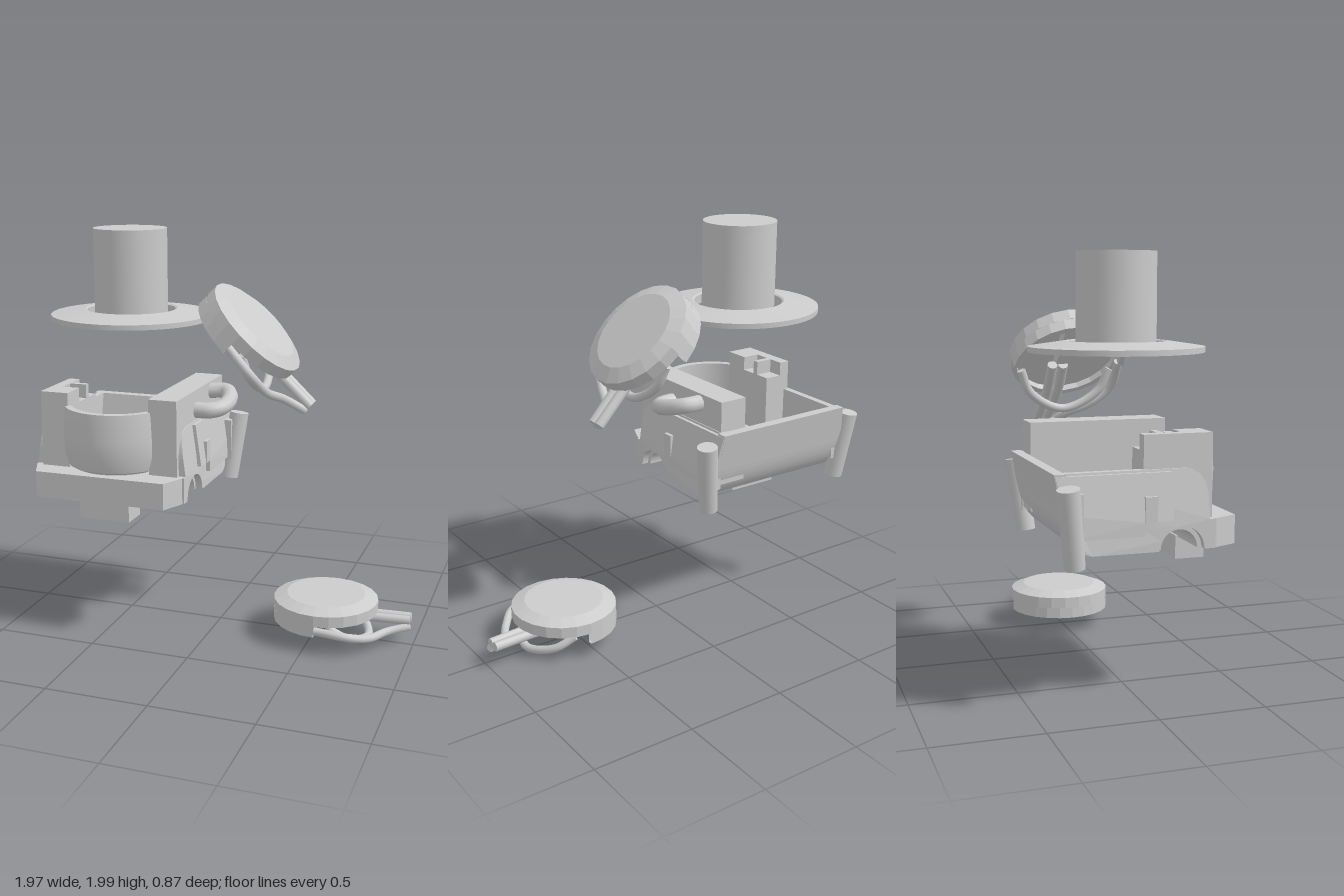
import * as THREE from 'three';
import { toCreasedNormals } from 'three/addons/utils/BufferGeometryUtils.js';

const CX = -0.48; // centre line of the tub
const V3 = (p) => new THREE.Vector3(...p);
const mat = new THREE.MeshStandardMaterial({ color: 0xcccccc, side: THREE.DoubleSide });
const flat = mat.clone();
flat.flatShading = true;

function mesh(name, geo, parent, material = mat) {
  const m = new THREE.Mesh(geo, material);
  m.name = name;
  parent.add(m);
  return m;
}
// Box given by its min and max corners
function box(name, a, b, parent) {
  const g = new THREE.BoxGeometry(b[0] - a[0], b[1] - a[1], b[2] - a[2]);
  g.translate((a[0] + b[0]) / 2, (a[1] + b[1]) / 2, (a[2] + b[2]) / 2);
  return mesh(name, g, parent);
}
// Side profile (z, y) extruded across x
function acrossX(shape, x0, x1) {
  const g = new THREE.ExtrudeGeometry(shape, { depth: x1 - x0, bevelEnabled: false, curveSegments: 14 });
  return g.rotateY(-Math.PI / 2).translate(x1, 0, 0);
}
const lathe = (pts, n, start = 0, len = Math.PI * 2) =>
  new THREE.LatheGeometry(pts.map((p) => new THREE.Vector2(...p)), n, start, len);
const tube = (name, pts, r, parent) => {
  const curve = new THREE.CatmullRomCurve3(pts.map(V3));
  mesh(name, new THREE.TubeGeometry(curve, 28, r, 10), parent);
  [pts[0], pts[pts.length - 1]].forEach((p, i) => {
    const cap = mesh(name + 'End', new THREE.CircleGeometry(r, 10), parent);
    cap.position.copy(V3(p));
    cap.lookAt(V3(p).addScaledVector(curve.getTangent(i), i ? 1 : -1));
  });
};

// Round pod, origin at its top centre, cables leaving toward +x
function pod(name) {
  const g = new THREE.Group();
  g.name = name;
  mesh('podCap', lathe([[0, -0.05], [0.235, -0.05], [0.235, -0.08], [0.26, -0.08], [0.26, -0.025],
    [0.195, 0], [0, 0]], 22), g, flat);
  mesh('podRim', lathe([[0.235, -0.08], [0.235, -0.135], [0.26, -0.135], [0.26, -0.08]], 12, Math.PI, Math.PI), g, flat);
  box('podBar', [-0.2, -0.1, -0.05], [0.06, -0.05, 0.05], g);
  tube('podStrap', [[0.06, -0.1, 0.21], [0.15, -0.16, 0.16], [0.22, -0.2, 0], [0.15, -0.16, -0.16], [0.06, -0.1, -0.21]], 0.02, g);
  tube('sideCable', [[0, -0.11, 0.24], [0.16, -0.12, 0.24], [0.25, -0.15, 0.15], [0.32, -0.15, 0.04], [0.42, -0.135, -0.02]], 0.02, g);
  tube('cable', [[0.02, -0.105, -0.07], [0.2, -0.105, -0.06], [0.42, -0.105, -0.07]], 0.023, g);
  tube('cable', [[0.02, -0.105, -0.02], [0.2, -0.105, -0.01], [0.42, -0.105, -0.025]], 0.023, g);
  return g;
}

export function createModel() {
  const root = new THREE.Group();
  root.name = 'model';

  // Hat-like lid: post above a wide ring
  const lid = new THREE.Group();
  lid.name = 'lid';
  lid.position.set(CX, 0, -0.025);
  root.add(lid);
  mesh('lidPost', new THREE.CylinderGeometry(0.182, 0.182, 0.42, 48), lid).position.y = 1.79;
  const ring = lathe([[0.22, 1.555], [0.4, 1.555], [0.4, 1.58], [0.23, 1.605], [0.22, 1.6], [0.22, 1.555]], 48);
  mesh('lidRing', toCreasedNormals(ring, 0.4), lid);

  // Tub body
  const body = new THREE.Group();
  body.name = 'body';
  root.add(body);

  // Floor slab with a round channel and curved back underside
  const under = new THREE.Shape();
  under.moveTo(0.3, 0.845);
  under.lineTo(0.3, 0.715);
  under.lineTo(0.25, 0.715);
  under.absarc(0.145, 0.715, 0.085, 0, Math.PI, false);
  under.lineTo(-0.26, 0.715);
  under.quadraticCurveTo(-0.34, 0.73, -0.365, 0.845);
  mesh('floor', acrossX(under, -0.84, -0.12), body);

  // Sloping back wall
  const back = new THREE.Shape();
  back.moveTo(-0.26, 0.715);
  back.quadraticCurveTo(-0.36, 0.73, -0.39, 0.9);
  back.lineTo(-0.425, 1.07);
  back.lineTo(-0.375, 1.07);
  back.lineTo(-0.33, 0.845);
  mesh('backWall', acrossX(back, -0.86, -0.1), body);

  // Side panels with wheel-arch cut, flaring toward the bottom
  const side = new THREE.Shape();
  side.moveTo(0.3, 0.845);
  side.lineTo(0.3, 0.715);
  side.lineTo(0.25, 0.715);
  side.absarc(0.145, 0.715, 0.105, 0, Math.PI, false);
  side.lineTo(-0.26, 0.715);
  side.quadraticCurveTo(-0.36, 0.73, -0.39, 0.9);
  side.lineTo(-0.425, 1.07);
  side.lineTo(0.17, 1.07);
  side.quadraticCurveTo(0.27, 1.06, 0.275, 0.93);
  side.lineTo(0.275, 0.845);
  const rear = new THREE.Shape([[-0.03, 0.79], [-0.36, 0.79], [-0.39, 0.9], [-0.42, 1.06], [0.1, 1.06],
    [0.1, 0.85], [-0.03, 0.85]].map((p) => new THREE.Vector2(...p)));
  const flare = (g) => {
    const p = g.attributes.position;
    for (let i = 0; i < p.count; i++) {
      const d = p.getX(i) - CX;
      if (Math.abs(d) > 0.36) p.setX(i, p.getX(i) - Math.sign(d) * 0.14 * Math.max(0, p.getY(i) - 0.85));
    }
    g.computeVertexNormals();
    return g;
  };
  for (const s of [-1, 1]) {
    const span = (a, b) => (s < 0 ? [CX - b, CX - a] : [CX + a, CX + b]);
    const addBox = (name, a, b, y0, y1, z0, z1) => {
      const [x0, x1] = span(a, b);
      box(name, [x0, y0, z0], [x1, y1, z1], body);
    };
    mesh('sidePanel', flare(acrossX(side, ...span(0.33, 0.395))), body);
    mesh('rearSidePanel', flare(acrossX(rear, ...span(0.385, 0.412))), body);
    addBox('sideLatch', 0.38, 0.415, 0.85, 0.96, -0.03, 0.025);

    // Slanted leg with its bracket at the back corner
    const top = V3([CX + s * 0.452, 1.02, -0.385]);
    const foot = V3([CX + s * 0.41, 0.675, -0.345]);
    const leg = mesh('backLeg', new THREE.CylinderGeometry(0.05, 0.046, top.distanceTo(foot), 20), body);
    leg.position.copy(top).add(foot).multiplyScalar(0.5);
    leg.quaternion.setFromUnitVectors(V3([0, 1, 0]), top.clone().sub(foot).normalize());
    addBox('legBracket', 0.36, 0.43, 0.78, 0.99, -0.375, -0.31);
  }

  // Front bumper with cut corners
  const bumper = new THREE.Shape([[-0.39, -0.27], [-0.385, -0.31], [-0.335, -0.42], [0.335, -0.42],
    [0.385, -0.31], [0.39, -0.27]].map(([x, y]) => new THREE.Vector2(x, y)));
  const bg = new THREE.ExtrudeGeometry(bumper, { depth: 0.13, bevelEnabled: false });
  mesh('frontBumper', bg.rotateX(-Math.PI / 2).translate(CX, 0.715, 0), body);

  // Blocks beneath the floor
  box('frontFoot', [-0.61, 0.61, 0.22], [-0.35, 0.72, 0.36], body);
  box('middleFoot', [-0.61, 0.65, -0.18], [-0.35, 0.72, 0.07], body);

  // Long right wall, short notched left post
  box('longWall', [-0.265, 0.8, -0.37], [-0.12, 1.22, 0.3], body);
  box('post', [-0.835, 0.8, 0.17], [-0.69, 1.22, 0.3], body);
  box('postOuter', [-0.835, 0.8, -0.02], [-0.78, 1.22, 0.17], body);
  box('postStep', [-0.78, 0.8, -0.02], [-0.69, 1.15, 0.17], body);
  box('postDivider', [-0.78, 0.8, 0.06], [-0.69, 1.22, 0.09], body);
  box('floorStep', [-0.6, 0.84, -0.15], [-0.36, 0.88, 0.1], body);

  // Curved, slightly bellied front panel
  const half = 1.02;
  const panel = lathe([[0.225, 0.85], [0.255, 0.865], [0.272, 0.93], [0.275, 1.02], [0.265, 1.155],
    [0.23, 1.155], [0.23, 0.85]], 24, -half, half * 2);
  mesh('frontPanel', toCreasedNormals(panel, 0.5), body).position.set(CX, 0, 0.16);

  // Bent hose on the wall
  tube('hose', [[-0.14, 1.17, -0.19], [-0.04, 1.175, -0.2], [0.005, 1.155, -0.13], [0, 1.13, -0.03],
    [-0.05, 1.12, 0.02], [-0.14, 1.12, 0.03]], 0.04, body);

  // The two pods
  const low = pod('lowerPod');
  low.position.set(0.557, 0.23, 0);
  root.add(low);
  const high = pod('upperPod');
  high.position.set(0.185, 1.555, -0.077);
  high.rotation.z = -Math.PI / 4;
  high.scale.setScalar(1.09);
  root.add(high);

  return root;
}
